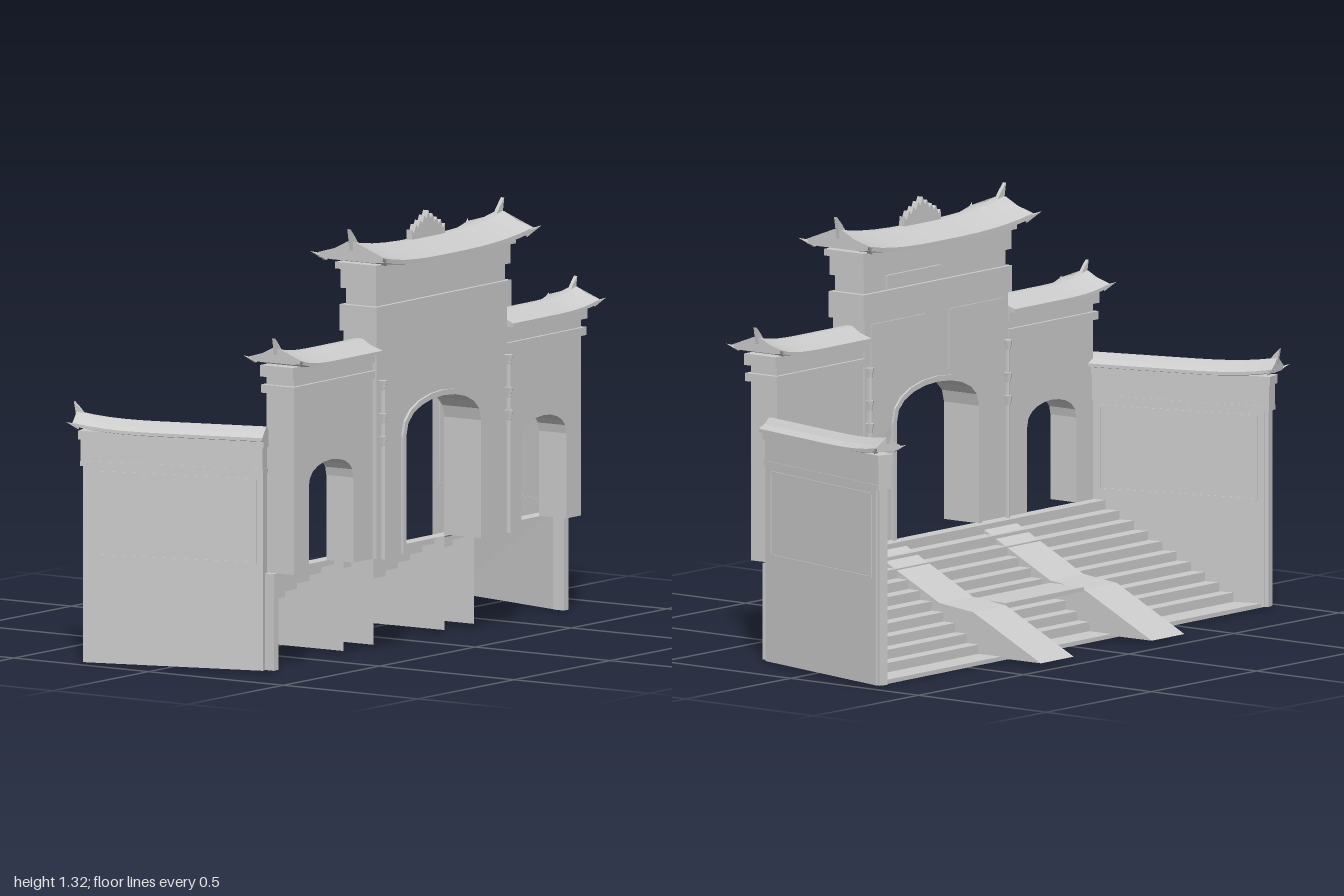
import * as THREE from 'three';

const mat = new THREE.MeshStandardMaterial({ color: 0xcccccc, flatShading: true, side: THREE.DoubleSide });

function add(parent, name, geometry, x = 0, y = 0, z = 0) {
  const mesh = new THREE.Mesh(geometry, mat);
  mesh.name = name;
  mesh.position.set(x, y, z);
  parent.add(mesh);
  return mesh;
}

// box given by its limits
function block(parent, name, x0, x1, y0, y1, z0, z1) {
  return add(parent, name, new THREE.BoxGeometry(x1 - x0, y1 - y0, z1 - z0),
    (x0 + x1) / 2, (y0 + y1) / 2, (z0 + z1) / 2);
}

function shapeOf(points) {
  return new THREE.Shape(points.map(([x, y]) => new THREE.Vector2(x, y)));
}

function extrude(points, depth) {
  return new THREE.ExtrudeGeometry(shapeOf(points), { depth, bevelEnabled: false });
}

// points over a flattened arch, from left foot to right foot
function archLine(cx, half, foot, spring, top, n = 10) {
  const pts = [[cx - half, foot]];
  for (let i = 0; i <= n; i++) {
    const a = Math.PI * (1 - i / n);
    pts.push([cx + half * Math.cos(a), spring + (top - spring) * Math.pow(Math.sin(a), 0.85)]);
  }
  pts.push([cx + half, foot]);
  return pts;
}

// wall with an arched opening
function archWall(x0, x1, y0, y1, arch, depth) {
  return extrude([[x0, y0], ...arch, [x1, y0], [x1, y1], [x0, y1]], depth);
}

// raised rim around an arch
function archRim(cx, half, foot, spring, top, w, depth) {
  return extrude([...archLine(cx, half + w, foot, spring, top + w),
    ...archLine(cx, half, foot, spring, top).reverse()], depth);
}

// sweeping gable roof along x; curls give the lift of the -x and +x ends
function roof(parent, name, x0, x1, y, z, d, h, curls) {
  const group = new THREE.Group();
  group.name = name;
  group.position.set(0, y, z);
  parent.add(group);
  const section = [[1, 0.1], [0.5, 0.48], [0.12, 1], [-0.12, 1], [-0.5, 0.48], [-1, 0.1],
    [-1, -0.2], [-0.65, -0.3], [0.65, -0.3], [1, -0.2]];
  const n = 12, m = section.length, pos = [], idx = [];
  for (let i = 0; i <= n; i++) {
    const t = 2 * i / n - 1;
    const s = Math.pow(Math.abs(t), 3), lift = s * curls[t < 0 ? 0 : 1];
    for (const [u, v] of section)
      pos.push(x0 + (x1 - x0) * i / n, v * h + lift, u * d * (1 + lift * 5));
  }
  for (let i = 0; i < n; i++)
    for (let j = 0; j < m; j++) {
      const a = i * m + j, b = i * m + (j + 1) % m;
      idx.push(a, a + m, b, b, a + m, b + m);
    }
  for (let j = 1; j < m - 1; j++) {
    idx.push(0, j, j + 1);
    idx.push(n * m, n * m + j + 1, n * m + j);
  }
  const geo = new THREE.BufferGeometry();
  geo.setAttribute('position', new THREE.Float32BufferAttribute(pos, 3));
  geo.setIndex(idx);
  geo.computeVertexNormals();
  add(group, 'roofTiles', geo);
  // upturned ridge horns and eave tips on curled ends
  [[x0, -1, curls[0]], [x1, 1, curls[1]]].forEach(([x, s, c]) => {
    if (!c) return;
    const k = h / 0.045;
    add(group, 'ridgeHorn', extrude([[x - s * 0.04 * k, h * 0.8 + c * 0.6], [x, h * 0.4 + c],
      [x + s * 0.012 * k, h + c + 0.04 * k], [x - s * 0.015 * k, h + c + 0.012 * k]], 0.012), 0, 0, -0.006);
    for (const e of [-1, 1]) {
      const tip = add(group, 'eaveTip', new THREE.ConeGeometry(0.012 * k, 0.06 * k, 4),
        x, c - h * 0.05, e * d * (1 + c * 5));
      tip.rotation.set(e * 0.9, 0, -s * 0.9);
    }
  });
}

function centralGate(parent) {
  const g = new THREE.Group();
  g.name = 'centralGate';
  parent.add(g);
  add(g, 'centralArchWall', archWall(-0.35, 0.35, 0.31, 1.0, archLine(0, 0.2, 0.31, 0.67, 0.77), 0.12), 0, 0, 0.25);
  for (const z of [0.243, 0.37])
    add(g, 'archRim', archRim(0, 0.2, 0.31, 0.67, 0.77, 0.017, 0.008), 0, 0, z);
  // stepped entablature
  block(g, 'lowerFrieze', -0.362, 0.362, 1.0, 1.08, 0.243, 0.378);
  block(g, 'friezeNeck', -0.345, 0.345, 1.08, 1.13, 0.255, 0.366);
  block(g, 'upperFrieze', -0.36, 0.36, 1.13, 1.2, 0.245, 0.376);
  block(g, 'eaveBoard', -0.375, 0.375, 1.19, 1.21, 0.235, 0.386);
  block(g, 'backPlaque', -0.02, 0.24, 1.085, 1.125, 0.247, 0.256);
  for (const s of [-1, 1]) {
    block(g, 'backPanel', s * 0.19 - 0.13, s * 0.19 + 0.13, 0.8, 0.985, 0.246, 0.25);
    // slim poles with brackets on both faces
    for (const z of [0.24, 0.385]) {
      add(g, 'pole', new THREE.CylinderGeometry(0.007, 0.007, 0.54, 6), s * 0.337, 0.58, z);
      for (const y of [0.67, 0.74, 0.84])
        add(g, 'poleBracket', new THREE.CylinderGeometry(0.014, 0.009, 0.03, 6), s * 0.337, y, z);
    }
  }
  roof(g, 'centralRoof', -0.4, 0.4, 1.205, 0.312, 0.105, 0.045, [0.03, 0.03]);
  // jagged fan crest on the ridge
  const crest = [[-0.09, 1.235]];
  const heights = [1.28, 1.295, 1.305, 1.318, 1.33, 1.318, 1.305, 1.295, 1.28];
  heights.forEach((y, i) => {
    const x = -0.088 + i * 0.022;
    crest.push([x, y]);
    if (i < 8) crest.push([x + 0.011, Math.min(y, heights[i + 1]) - 0.012]);
  });
  crest.push([0.09, 1.235]);
  add(g, 'ridgeCrest', extrude(crest, 0.02), 0, 0, 0.302);
}

function sideGate(parent) {
  const g = new THREE.Group();
  g.name = 'sideGate';
  parent.add(g);
  add(g, 'sideArchWall', archWall(0.35, 0.77, 0.31, 0.86, archLine(0.57, 0.12, 0.31, 0.57, 0.64), 0.1), 0, 0, 0.255);
  block(g, 'sideFrieze', 0.35, 0.785, 0.86, 0.885, 0.245, 0.365);
  block(g, 'sideFriezeNeck', 0.35, 0.77, 0.885, 0.91, 0.255, 0.355);
  block(g, 'sideEaveBoard', 0.35, 0.79, 0.91, 0.945, 0.245, 0.365);
  roof(g, 'sideRoof', 0.35, 0.8, 0.945, 0.308, 0.085, 0.035, [0, 0.022]);
}

// flared flank wall, built along its own x axis from gate to stair foot
function flankWall(parent) {
  const g = new THREE.Group();
  g.name = 'flankWall';
  g.position.set(0.865, 0, -0.012);
  g.rotation.y = 1.3;
  parent.add(g);
  block(g, 'wallBody', -0.285, 0.28, 0.015, 0.68, -0.02, 0.02);
  block(g, 'wallEndPier', 0.28, 0.292, 0.015, 0.62, -0.015, 0.015);
  block(g, 'wallCourse', -0.287, 0.297, 0.615, 0.63, -0.025, 0.025);
  block(g, 'wallFrieze', -0.285, 0.297, 0.63, 0.7, -0.023, 0.023);
  block(g, 'wallEaveBoard', -0.29, 0.302, 0.695, 0.722, -0.029, 0.029);
  roof(g, 'wallRoof', -0.29, 0.315, 0.725, 0, 0.042, 0.033, [0, 0.02]);
  // framed panel on both faces
  for (const z of [-0.021, 0.021]) {
    for (const y of [0.342, 0.597]) block(g, 'panelFrame', -0.26, 0.255, y - 0.004, y + 0.004, z - 0.002, z + 0.002);
    for (const x of [-0.26, 0.255]) block(g, 'panelFrame', x - 0.004, x + 0.004, 0.342, 0.597, z - 0.002, z + 0.002);
  }
}

// open flight of steps widening towards the foot
function stairs(parent) {
  const steps = 10, pos = [], idx = [];
  const row = (y, z) => {
    const w = 0.79 + (0.26 - z) * 0.27;
    pos.push(-w, y, z, w, y, z);
  };
  row(0.31, 0.26);
  for (let i = 0; i < steps; i++) {
    const z = 0.215 - i * 0.045, y = 0.31 - i * 0.0285;
    row(y, z);
    row(y - 0.0285, z);
  }
  row(0.025, -0.275);
  row(0.012, -0.275);
  for (let i = 0; i < pos.length / 6 - 1; i++) {
    const a = i * 2;
    idx.push(a, a + 1, a + 2, a + 1, a + 3, a + 2);
  }
  const geo = new THREE.BufferGeometry();
  geo.setAttribute('position', new THREE.Float32BufferAttribute(pos, 3));
  geo.setIndex(idx);
  geo.computeVertexNormals();
  add(parent, 'stairs', geo);
}

// ramp with a level landing, open underneath
function ramp(parent) {
  const line = [[0.25, 0.312], [-0.04, 0.165], [-0.17, 0.15], [-0.43, 0.02]];
  const pos = [], idx = [];
  line.forEach(([z, y]) => pos.push(0.19, y, z, 0.35, y, z));
  for (let a = 0; a < 6; a += 2) idx.push(a, a + 1, a + 2, a + 1, a + 3, a + 2);
  const geo = new THREE.BufferGeometry();
  geo.setAttribute('position', new THREE.Float32BufferAttribute(pos, 3));
  geo.setIndex(idx);
  geo.computeVertexNormals();
  add(parent, 'rampTop', geo);
  for (const x of [0.19, 0.35]) {
    const cheek = add(parent, 'rampCheek', new THREE.ShapeGeometry(
      shapeOf([...line.map(([z, y]) => [-z, y]), [-0.25, 0.02]])), x);
    cheek.rotation.y = Math.PI / 2;
  }
}

export function createModel() {
  const model = new THREE.Group();
  model.name = 'gateway';
  const site = new THREE.Group();
  site.name = 'gatewayWithStairs';
  site.rotation.y = 0.02;
  model.add(site);
  centralGate(site);
  stairs(site);
  block(site, 'stairLanding', -0.19, 0.19, 0.145, 0.158, -0.17, -0.04);
  // mirrored halves
  for (const s of [-1, 1]) {
    const half = new THREE.Group();
    half.name = s > 0 ? 'leftHalf' : 'rightHalf';
    half.scale.x = s;
    site.add(half);
    sideGate(half);
    flankWall(half);
    ramp(half);
    block(half, 'wallFoot', 0.765, 0.79, 0.015, 0.31, 0.255, 0.295);
  }
  return model;
}
